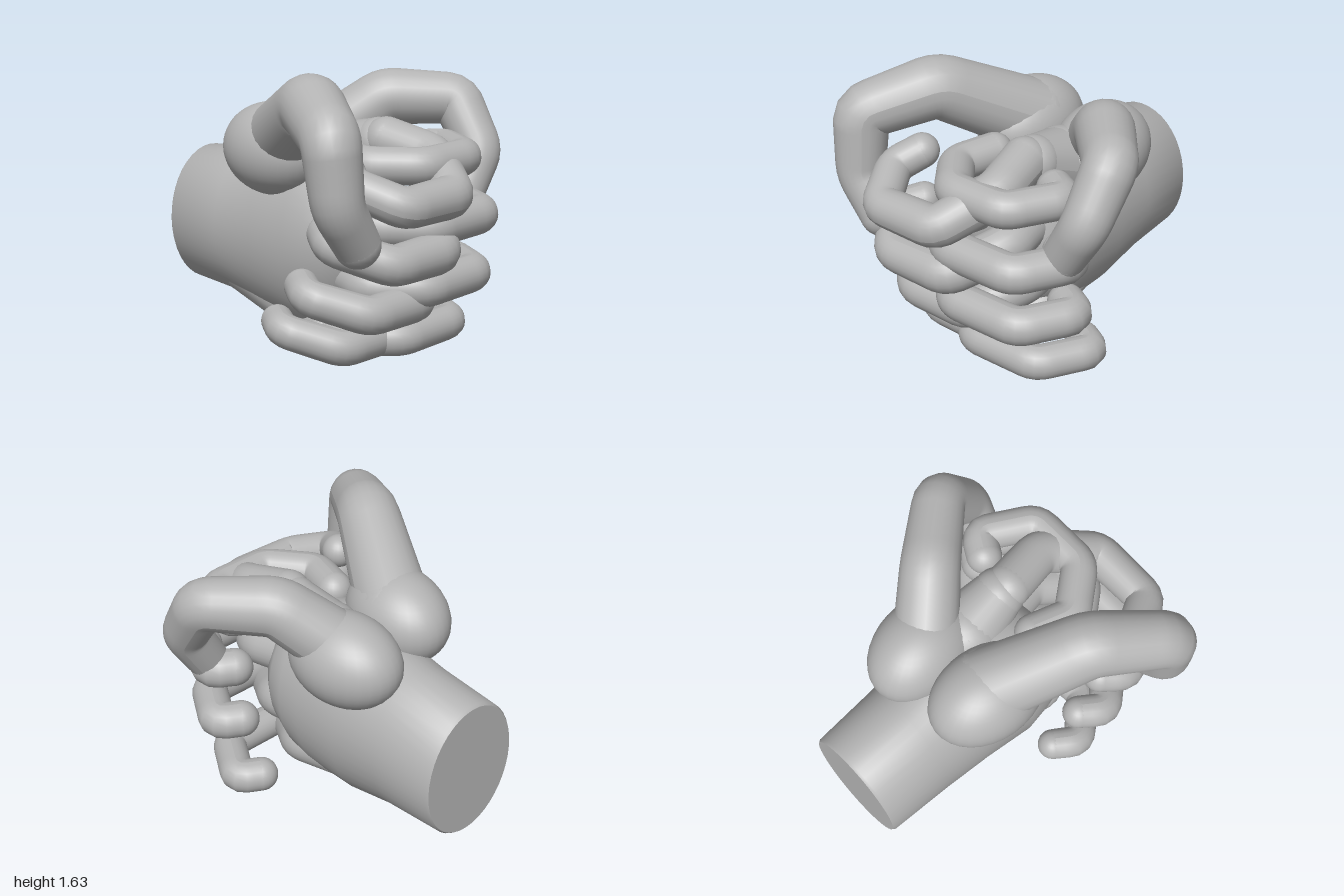
import * as THREE from 'three';
import { mergeGeometries, toCreasedNormals } from 'three/addons/utils/BufferGeometryUtils.js';

const V = (p) => new THREE.Vector3(...p);

// Tapered tube with softened bends and rounded ends
function limbGeometry(points, r0, r1, bend = 0.06) {
  const p = points.map(V);
  const path = new THREE.CurvePath();
  let from = p[0];
  for (let i = 1; i < p.length - 1; i++) {
    const toward = (q) => {
      const d = q.clone().sub(p[i]);
      return p[i].clone().addScaledVector(d, Math.min(bend / d.length(), 0.45));
    };
    const a = toward(p[i - 1]), b = toward(p[i + 1]);
    path.add(new THREE.LineCurve3(from, a));
    path.add(new THREE.QuadraticBezierCurve3(a, p[i], b));
    from = b;
  }
  path.add(new THREE.LineCurve3(from, p[p.length - 1]));

  const rings = 48, sides = 24;
  const tube = new THREE.TubeGeometry(path, rings, 1, sides, false);
  const pos = tube.attributes.position, v = new THREE.Vector3();
  for (let i = 0; i <= rings; i++) {
    const c = path.getPointAt(i / rings);
    for (let j = 0; j <= sides; j++) {
      const k = i * (sides + 1) + j;
      v.fromBufferAttribute(pos, k).sub(c).multiplyScalar(r0 + (r1 - r0) * i / rings).add(c);
      pos.setXYZ(k, v.x, v.y, v.z);
    }
  }
  tube.computeVertexNormals();
  const cap = (q, r) => new THREE.SphereGeometry(r, 24, 16).translate(q.x, q.y, q.z);
  return mergeGeometries([tube, cap(p[0], r0), cap(p[p.length - 1], r1)]);
}

// Skin through elliptical sections: [z, centre x, centre y, half width, half height]
function loftGeometry(sections, sides = 40) {
  const pos = [], idx = [];
  for (const [z, cx, cy, rx, ry] of sections) {
    for (let j = 0; j < sides; j++) {
      const a = j / sides * Math.PI * 2;
      pos.push(cx + Math.cos(a) * rx, cy + Math.sin(a) * ry, z);
    }
  }
  for (let i = 0; i < sections.length - 1; i++) {
    for (let j = 0; j < sides; j++) {
      const a = i * sides + j, b = i * sides + (j + 1) % sides;
      idx.push(a, b, b + sides, a, b + sides, a + sides);
    }
  }
  const ends = [sections[0], sections[sections.length - 1]];
  ends.forEach(([z, cx, cy], e) => {
    const c = pos.length / 3, base = e * (sections.length - 1) * sides;
    pos.push(cx, cy, z);
    for (let j = 0; j < sides; j++) {
      const a = base + j, b = base + (j + 1) % sides;
      if (e) idx.push(c, a, b); else idx.push(c, b, a);
    }
  });
  const g = new THREE.BufferGeometry();
  g.setAttribute('position', new THREE.Float32BufferAttribute(pos, 3));
  g.setIndex(idx);
  g.computeVertexNormals();
  return toCreasedNormals(g, 0.9);
}

export function createModel() {
  const model = new THREE.Group();
  const skin = new THREE.MeshStandardMaterial({ color: 0xb4b4b4 });
  skin.name = 'grey skin';
  const add = (name, geometry) => {
    const m = new THREE.Mesh(geometry, skin);
    m.name = name;
    model.add(m);
    return m;
  };

  // Wrist stump widening into the shared palm
  add('wristAndPalm', loftGeometry([
    [-1, 0, 0.615, 0.315, 0.405],
    [-0.985, 0, 0.615, 0.326, 0.416],
    [-0.6, 0, 0.615, 0.345, 0.445],
    [-0.3, 0, 0.61, 0.365, 0.505],
    [0, -0.02, 0.63, 0.385, 0.55],
    [0.14, -0.01, 0.65, 0.38, 0.51],
    [0.25, -0.01, 0.67, 0.355, 0.44],
    [0.33, 0, 0.68, 0.29, 0.35],
    [0.37, 0, 0.69, 0.17, 0.23],
  ]));

  // Ridge under the palm running to the lowest knuckle
  add('palmHeel', limbGeometry([[-0.05, 0.38, -0.6], [-0.12, 0.126, 0.03], [-0.18, 0.14, 0.15]], 0.2, 0.11));

  // Thick root of the dipped index finger on top of the palm
  add('indexRoot', limbGeometry([[0.14, 1.06, -0.02], [0.15, 1.17, 0.24]], 0.21, 0.15));

  // Fingers curling towards +x, lying level: [name, y, front z, end x, radius]
  const levelFingers = [
    ['Index', 1.13, 0.71, 0.505, 0.105],
    ['Middle', 0.8, 0.76, 0.595, 0.112],
    ['Ring', 0.455, 0.72, 0.595, 0.11],
    ['Little', 0.135, 0.56, 0.59, 0.102],
  ];
  for (const [name, y, z, x, r] of levelFingers) {
    add('left' + name + 'Finger', limbGeometry([
      [-0.14, y + 0.01, z - 0.48],
      [-0.215, y, z - 0.25],
      [-0.02, y, z],
      [x - 0.17, y, z],
      [x, y, z - 0.29],
      [x - 0.12, y, z - 0.36],
    ], r, r * 0.97));
  }

  // Fingers curling towards -x, dipping forwards:
  // [name, front y, front z, end x, rise at knuckle, rise at root, rise at tip, radius]
  const dippedFingers = [
    ['Index', 0.99, 0.885, -0.52, 0.15, 0.21, 0.17, 0.11],
    ['Middle', 0.67, 0.81, -0.59, 0.11, 0.15, 0.13, 0.11],
    ['Ring', 0.365, 0.65, -0.605, 0.11, 0.14, 0.12, 0.106],
    ['Little', 0.14, 0.46, -0.6, 0.11, 0.15, 0.11, 0.1],
  ];
  for (const [name, y, z, x, rise, rootRise, tipRise, r] of dippedFingers) {
    add('right' + name + 'Finger', limbGeometry([
      [0.14, y + rootRise, z - 0.58],
      [0.19, y + rise, z - 0.29],
      [0.01, y, z],
      [-0.39, y, z],
      [x, y + 0.1, z - 0.25],
      [x + 0.09, y + tipRise, z - 0.38],
    ], r * 1.2, r * 0.9));
  }

  // Thumbs arching over and down to the middle fingers
  add('leftThumb', limbGeometry([
    [0.24, 1.15, -0.22], [0.46, 1.38, 0.02], [0.73, 1.37, 0.33], [0.715, 1.09, 0.52], [0.58, 0.86, 0.515],
  ], 0.185, 0.12));
  add('rightThumb', limbGeometry([
    [-0.2, 1.18, -0.2], [-0.48, 1.47, 0.31], [-0.72, 1.37, 0.67], [-0.71, 1.02, 0.71], [-0.56, 0.8, 0.71],
  ], 0.215, 0.125));

  // Swollen thumb bases on top of the palm
  for (const [name, s, y, z] of [['left', 1, 1.08, -0.265], ['right', -1, 1.14, -0.2]]) {
    const ball = add(name + 'ThumbBase', new THREE.SphereGeometry(1, 32, 24));
    ball.position.set(s * 0.23, y, z);
    ball.scale.set(0.26, 0.265, 0.35);
    ball.rotation.y = s * 0.12;
  }
  return model;
}
